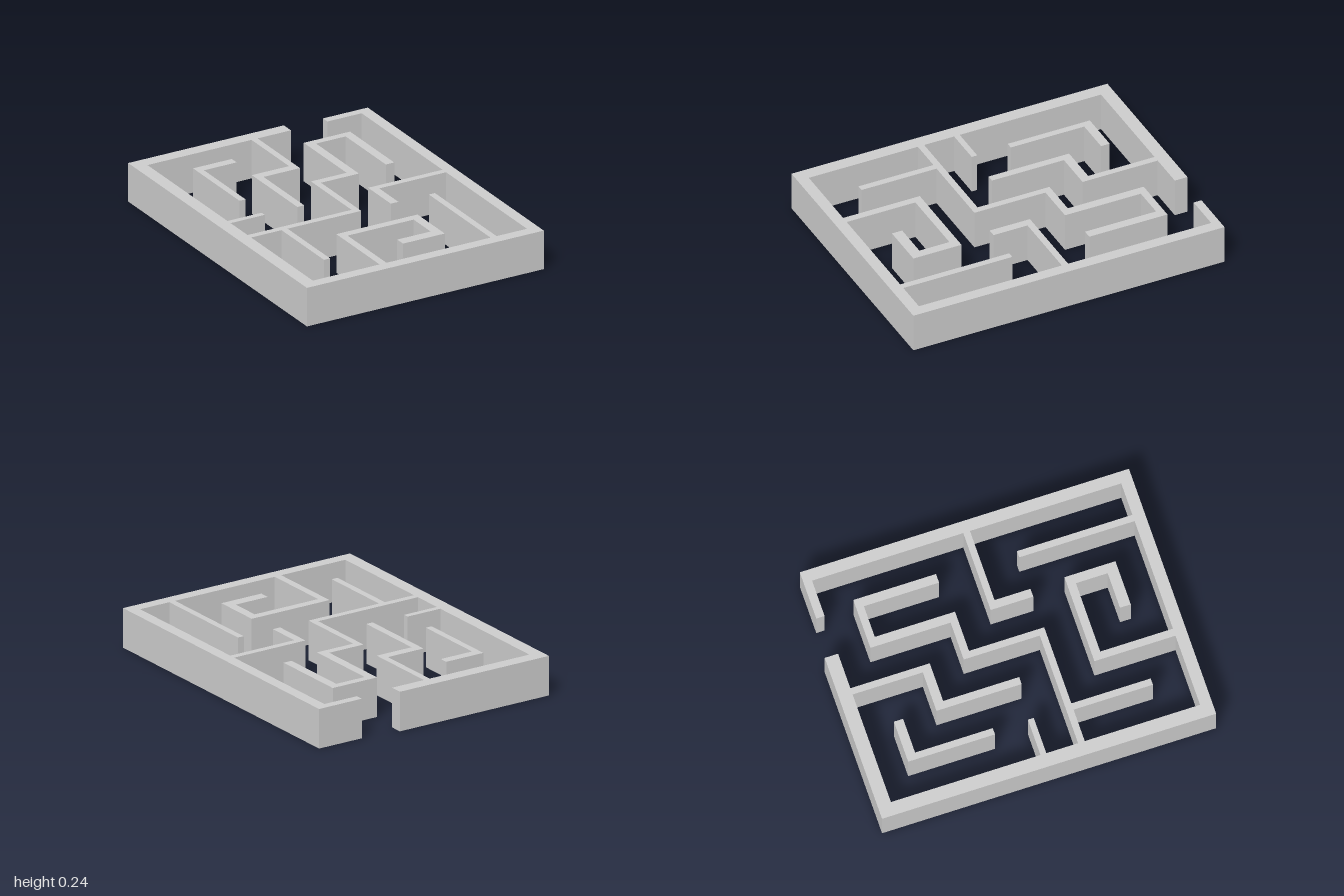
import * as THREE from 'three';

const HEIGHT = 0.24;

// Floor plan outlines as [x, z] corners, extruded upwards
const WALLS = {
  // Outer frame, open at the back for the entrance
  outerFrame: [
    [-0.78, -1], [0.245, -1], [0.245, -0.92], [-0.7, -0.92], [-0.7, 0.93], [0.71, 0.93],
    [0.71, -0.92], [0.485, -0.92], [0.485, -0.97], [0.78, -0.97], [0.78, 1], [-0.78, 1],
  ],
  // Stepped wall hanging from the back of the frame
  backStepWall: [
    [-0.015, -0.92], [0.025, -0.92], [0.025, -0.445], [-0.215, -0.445], [-0.215, 0.01],
    [-0.26, 0.01], [-0.26, -0.5], [-0.015, -0.5],
  ],
  // Long zigzag from the right side of the maze to the hook near the entrance
  zigzagWall: [
    [-0.7, 0.2], [-0.015, 0.2], [-0.015, -0.255], [0.22, -0.255], [0.22, -0.735], [0.525, -0.735],
    [0.525, -0.24], [0.47, -0.24], [0.47, -0.69], [0.275, -0.69], [0.275, -0.21], [0.025, -0.21],
    [0.025, 0.24], [-0.7, 0.24],
  ],
  // Free-standing corner
  cornerWall: [
    [-0.5, -0.75], [-0.245, -0.75], [-0.245, -0.695], [-0.46, -0.695], [-0.46, -0.23], [-0.5, -0.23],
  ],
  // Elbow joined to the left side of the frame
  elbowWall: [
    [0.22, -0.015], [0.71, -0.015], [0.71, 0.025], [0.27, 0.025], [0.27, 0.24], [0.22, 0.24],
  ],
  // Spiral rising from the front of the frame
  spiralWall: [
    [-0.26, 0.93], [-0.26, 0.445], [0.275, 0.445], [0.275, 0.75], [0, 0.75], [0, 0.685],
    [0.22, 0.685], [0.22, 0.495], [-0.215, 0.495], [-0.215, 0.93],
  ],
  // Straight walls
  sideStub: rect(-0.7, -0.025, -0.475, 0.01),
  zigzagBranch: rect(-0.5, 0.24, -0.46, 0.715),
  frontBranch: rect(0.47, 0.24, 0.51, 0.93),
};

function rect(x0, z0, x1, z1) {
  return [[x0, z0], [x1, z0], [x1, z1], [x0, z1]];
}

function wallGeometry(plan) {
  const shape = new THREE.Shape(plan.map(([x, z]) => new THREE.Vector2(x, -z)));
  const geometry = new THREE.ExtrudeGeometry(shape, { depth: HEIGHT, bevelEnabled: false });
  return geometry.rotateX(-Math.PI / 2);
}

export function createModel() {
  const maze = new THREE.Group();
  maze.name = 'maze';
  const material = new THREE.MeshStandardMaterial({ color: 0xcccccc });
  for (const [name, plan] of Object.entries(WALLS)) {
    const wall = new THREE.Mesh(wallGeometry(plan), material);
    wall.name = name;
    maze.add(wall);
  }
  return maze;
}
